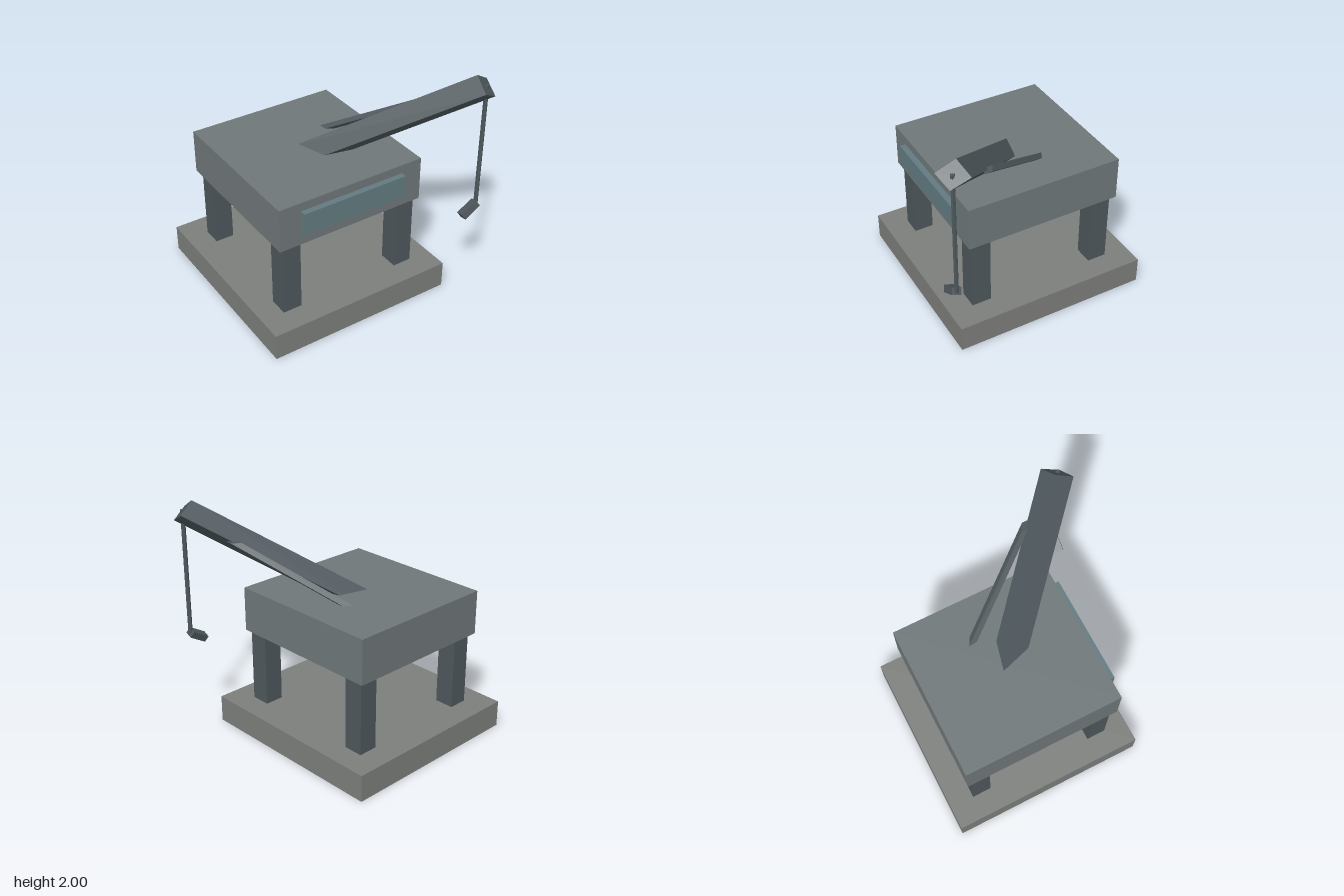
import * as THREE from 'three';

const mat = (color) => new THREE.MeshStandardMaterial({ color, flatShading: true });
const stone = mat(0x7c7e7b);
const wall = mat(0x6f7779);
const glass = mat(0x627a80);
const steel = mat(0x4e575c);

// Box given by its minimum and maximum corners
function box(name, material, [x0, y0, z0], [x1, y1, z1]) {
  const mesh = new THREE.Mesh(new THREE.BoxGeometry(x1 - x0, y1 - y0, z1 - z0), material);
  mesh.position.set((x0 + x1) / 2, (y0 + y1) / 2, (z0 + z1) / 2);
  mesh.name = name;
  return mesh;
}

// Four-sided beam: a section (counter-clockwise about the sweep) moved along a sweep vector
function beam(name, material, section, sweep) {
  const near = section.map((p) => new THREE.Vector3(...p));
  const far = near.map((p) => p.clone().add(sweep));
  const pts = [];
  const quad = (a, b, c, d) => pts.push(a, b, c, a, c, d);
  for (let i = 0; i < 4; i++) {
    const j = (i + 1) % 4;
    quad(near[i], near[j], far[j], far[i]);
  }
  quad(near[3], near[2], near[1], near[0]);
  quad(far[0], far[1], far[2], far[3]);
  const geometry = new THREE.BufferGeometry().setFromPoints(pts);
  geometry.computeVertexNormals();
  const mesh = new THREE.Mesh(geometry, material);
  mesh.name = name;
  return mesh;
}

export function createModel() {
  const model = new THREE.Group();
  model.name = 'craneHouse';

  // Ground slab, raised cabin and the window strip on its front
  model.add(box('base', stone, [-0.96, 0, -0.96], [0.68, 0.23, 0.74]));
  model.add(box('cabin', wall, [-0.8, 0.865, -0.79], [0.515, 1.245, 0.57]));
  model.add(box('window', glass, [-0.61, 0.98, 0.55], [0.33, 1.17, 0.62]));

  // Four square legs
  for (const x of [-0.68, 0.4]) {
    for (const z of [-0.665, 0.452]) {
      model.add(box('leg', steel, [x - 0.082, 0.23, z - 0.084], [x + 0.082, 0.865, z + 0.084]));
    }
  }

  // Boom, swept from its tip down into the roof
  const tip = [[0.815, 2, 0.805], [0.955, 1.915, 0.76], [0.92, 1.835, 0.91], [0.78, 1.91, 0.955]];
  model.add(beam('boom', steel, tip, new THREE.Vector3(-1.32, -1, -1.265).multiplyScalar(0.78)));

  // Brace rising from the roof to the side of the boom
  const foot = [[0.135, 1.245, -0.23], [0.2, 1.245, -0.19], [0.2, 1.245, -0.26], [0.13, 1.245, -0.3]];
  model.add(beam('brace', steel, foot, new THREE.Vector3(1.11, 1, 1.6).multiplyScalar(0.455)));

  // Cable hanging from the boom tip
  const cable = new THREE.Mesh(new THREE.CylinderGeometry(0.018, 0.018, 1.075, 6), steel);
  cable.position.set(0.868, 1.385, 0.862);
  cable.name = 'cable';
  model.add(cable);

  // Tilted block at the cable's end
  const hook = new THREE.Mesh(new THREE.BoxGeometry(0.165, 0.057, 0.075), steel);
  hook.position.set(0.8, 0.815, 0.862);
  hook.rotation.set(-0.3, 0, 0.54, 'ZYX');
  hook.name = 'hook';
  model.add(hook);

  return model;
}
